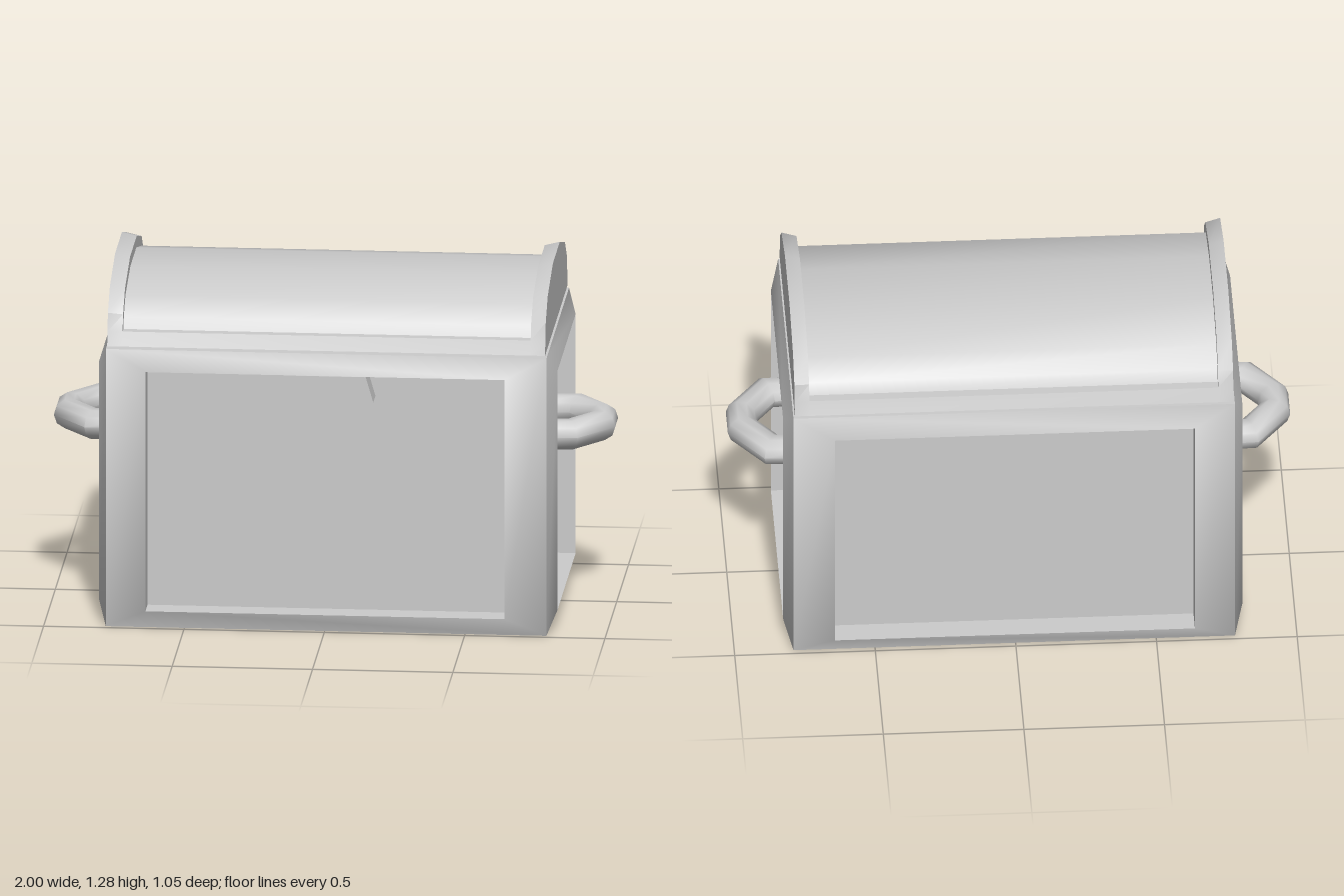
import * as THREE from 'three';
import { toCreasedNormals } from 'three/addons/utils/BufferGeometryUtils.js';

const material = new THREE.MeshStandardMaterial({ color: 0xcccccc });

function mesh(geometry, name) {
  const m = new THREE.Mesh(geometry, material);
  m.name = name;
  return m;
}

// Joins closed cross-sections (arrays of [x, y, z]) and optionally caps the ends
function loft(sections, crease, capStart, capEnd) {
  const n = sections[0].length;
  const index = [];
  for (let s = 0; s < sections.length - 1; s++) {
    for (let i = 0; i < n; i++) {
      const j = (i + 1) % n;
      const a = s * n + i, b = a + n, c = (s + 1) * n + j, d = s * n + j;
      index.push(a, b, c, a, c, d);
    }
  }
  const last = (sections.length - 1) * n;
  for (let i = 1; i < n - 1; i++) {
    if (capStart) index.push(0, i, i + 1);
    if (capEnd) index.push(last, last + i + 1, last + i);
  }
  const g = new THREE.BufferGeometry();
  g.setAttribute('position', new THREE.Float32BufferAttribute(sections.flat(2), 3));
  g.setIndex(index);
  return toCreasedNormals(g, crease);
}

// One side of the body: sloped frame, recess walls and sunken panel, facing +z
function framedSide(halfWidth, depth, innerHalfWidth) {
  const rect = (w, y0, y1, z) => [[-w, y0, z], [-w, y1, z], [w, y1, z], [w, y0, z]];
  return loft([
    rect(halfWidth, 0, 1.02, depth),
    rect(innerHalfWidth, 0.07, 0.95, depth + 0.045 * (depth < 0.6 ? 1 : 0.7)),
    rect(innerHalfWidth, 0.07, 0.95, depth - 0.045),
  ], 0.8, false, true);
}

// Lid: end plates and lower rails around a sunken barrel top
function lidGeometry() {
  const section = (x, half) => [
    ...half.map(([z, y]) => [x, y, z]),
    ...half.slice().reverse().map(([z, y]) => [x, y, -z]),
  ];
  const outer = [[0.48, 1.03], [0.467, 1.08], [0.467, 1.08], [0.45, 1.145], [0.365, 1.22], [0.145, 1.28]];
  const rim = [[0.48, 1.03], [0.46, 1.08], [0.46, 1.08], [0.437, 1.137], [0.355, 1.21], [0.14, 1.268]];
  const barrel = [[0.48, 1.03], [0.46, 1.08], [0.425, 1.08], [0.405, 1.12], [0.335, 1.18], [0.125, 1.23]];
  return loft([
    section(-0.78, outer), section(-0.727, rim), section(-0.727, barrel),
    section(0.727, barrel), section(0.727, rim), section(0.78, outer),
  ], 0.5, true, true);
}

// Bent handle with mitred joints, on the +x side
function handleGeometry() {
  const half = [[0.72, 0.175], [0.85, 0.17], [0.945, 0.045]];
  const path = [...half, ...half.slice().reverse().map(([x, z]) => [x, -z])]
    .map(([x, z]) => new THREE.Vector3(x, 0.66, z));
  const up = new THREE.Vector3(0, 1, 0);
  const sideOf = (i) => path[i + 1].clone().sub(path[i]).cross(up).normalize();
  const radius = 0.055, sides = 10;
  const sections = path.map((p, i) => {
    const s1 = sideOf(Math.max(i - 1, 0));
    const s2 = sideOf(Math.min(i, path.length - 2));
    const miter = s1.clone().add(s2).normalize();
    miter.divideScalar(miter.dot(s1));
    return Array.from({ length: sides }, (_, k) => {
      const a = (k / sides) * Math.PI * 2;
      return p.clone().addScaledVector(miter, Math.cos(a) * radius)
        .addScaledVector(up, Math.sin(a) * radius).toArray();
    });
  });
  return loft(sections, 1.0, false, false);
}

export function createModel() {
  const model = new THREE.Group();
  model.name = 'chest';

  const body = new THREE.Group();
  body.name = 'body';
  body.position.x = 0.005;
  ['frontPanel', 'leftPanel', 'backPanel', 'rightPanel'].forEach((name, i) => {
    const side = mesh(i % 2 ? framedSide(0.48, 0.785, 0.385) : framedSide(0.785, 0.48, 0.64), name);
    side.rotation.y = i * Math.PI / 2;
    body.add(side);
  });

  // Flat top and floor of the body
  [['bodyTop', 1.02, -1], ['bodyFloor', 0, 1]].forEach(([name, y, turn]) => {
    const cap = mesh(new THREE.PlaneGeometry(1.57, 0.96), name);
    cap.rotation.x = turn * Math.PI / 2;
    cap.position.y = y;
    body.add(cap);
  });

  // Latch plate hanging from the front frame
  const outline = [[-0.145, 0.95], [-0.172, 0.857], [-0.067, 0.775], [0.067, 0.775], [0.172, 0.857], [0.145, 0.95]];
  const latchShape = new THREE.Shape(outline.map(([x, y]) => new THREE.Vector2(x, y)));
  const latch = mesh(new THREE.ExtrudeGeometry(latchShape, { depth: 0.094, bevelEnabled: false }), 'latch');
  latch.position.z = 0.434;
  body.add(latch);

  body.add(mesh(lidGeometry(), 'lid'));
  model.add(body);

  // Handles on both ends
  ['leftHandle', 'rightHandle'].forEach((name, i) => {
    const handle = mesh(handleGeometry(), name);
    handle.rotation.y = i * Math.PI;
    model.add(handle);
  });

  return model;
}
